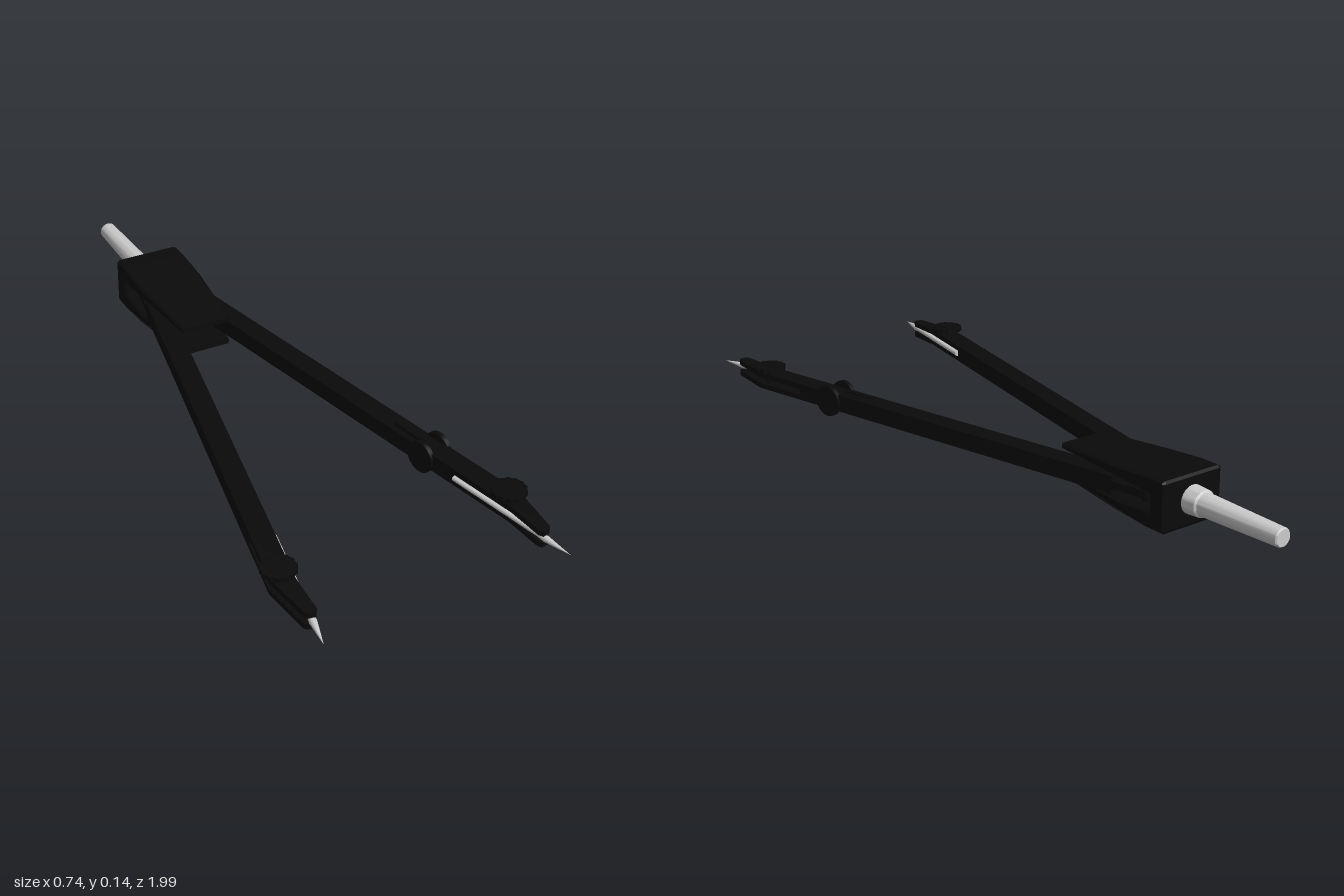
import * as THREE from 'three';
import { toCreasedNormals } from 'three/addons/utils/BufferGeometryUtils.js';

const black = new THREE.MeshStandardMaterial({ color: 0x0a0a0a });
const grey = new THREE.MeshStandardMaterial({ color: 0xcccccc });
const CX = -0.006; // centre line of the head
const CY = 0.071; // mid height of the flat-lying tool

function add(parent, name, geometry, material, x = 0, y = 0, z = 0) {
  const mesh = new THREE.Mesh(geometry, material);
  mesh.name = name;
  mesh.position.set(x, y, z);
  parent.add(mesh);
  return mesh;
}

// Flat plate outlined in (x, z), filling y0..y1
function plate(points, y0, y1, hole) {
  const shape = new THREE.Shape(points.map(([x, z]) => new THREE.Vector2(x, z)));
  if (hole) shape.holes.push(new THREE.Path(hole.map(([x, z]) => new THREE.Vector2(x, z))));
  const g = new THREE.ExtrudeGeometry(shape, { depth: y1 - y0, bevelEnabled: false });
  return g.rotateX(Math.PI / 2).translate(0, y1, 0);
}

// Turned part along z, from [radius, z] pairs with z rising
function turned(profile, segments = 24) {
  const pts = profile.map(([r, z]) => new THREE.Vector2(r, z));
  return toCreasedNormals(new THREE.LatheGeometry(pts, segments).rotateX(Math.PI / 2), 0.5);
}

// Knurled wheel lying flat
function wheel(radius, y0, y1) {
  const pts = [];
  for (let i = 0; i < 56; i++) {
    const a = (i / 56) * Math.PI * 2;
    const r = i % 4 < 2 ? radius : radius * 0.95;
    pts.push([Math.cos(a) * r, Math.sin(a) * r]);
  }
  return plate(pts, y0, y1);
}

// Forked head: side profile in (z, y), narrowed towards the open end
function makeHead(root) {
  const upper = [[-0.29, 0.029], [-0.29, 0.044], [-0.53, 0.03], [-0.645, 0.012], [-0.655, 0]];
  const outer = [[-0.29, 0.044], [-0.53, 0.06], [-0.64, 0.069], [-0.695, 0.069]];
  const inner = [[-0.65, 0.021], [-0.53, 0.029], [-0.29, 0.029]];
  const half = [...outer, [-0.7, 0.062]];
  const low = half.map(([z, y]) => [z, -y]).reverse();
  const lowInner = inner.map(([z, y]) => [z, -y]).reverse();
  const loop = [...half, ...low, ...lowInner, ...inner];
  const shape = new THREE.Shape(loop.map(([z, y]) => new THREE.Vector2(z, y)));
  const g = new THREE.ExtrudeGeometry(shape, {
    depth: 0.178, bevelThickness: 0.008, bevelSize: 0.005, bevelOffset: -0.005, bevelSegments: 1,
  }).translate(0, 0, -0.089).rotateY(-Math.PI / 2);
  const p = g.attributes.position;
  for (let i = 0; i < p.count; i++) {
    const t = THREE.MathUtils.clamp((p.getZ(i) + 0.53) / 0.24, 0, 1);
    p.setX(i, p.getX(i) * (1 - 0.23 * t));
  }
  g.computeVertexNormals();
  add(root, 'head', g, black, CX, CY, 0);
  for (const s of [-1, 1]) {
    add(root, 'pivotPin', new THREE.CylinderGeometry(0.016, 0.016, 0.124, 16), black, CX + s * 0.042, CY, -0.59);
  }
}

// One leg along local z; s = 1 for the left leg (+x), -1 for the right
function makeLeg(root, s) {
  const leg = new THREE.Group();
  leg.name = s > 0 ? 'leftLeg' : 'rightLeg';
  leg.position.set(CX + s * 0.165, CY, 0);
  leg.rotation.y = s * 0.204;
  root.add(leg);
  const m = (pts) => pts.map(([x, z]) => [s * x, z]);

  // Solid bar; the left one has a slit beside its hinge
  const bar = m([[-0.03, -0.51], [0.03, -0.51], [0.03, 0.61], [-0.03, 0.61]]);
  const slit = m([[-0.014, 0.36], [-0.003, 0.36], [-0.003, 0.47], [-0.014, 0.47]]);
  add(leg, 'bar', plate(bar, -0.024, 0.024, s > 0 ? slit : null), black);

  // Thin tongue with rounded end inside the head
  const tongue = [[0.03, -0.5], [-0.03, -0.5]];
  for (let i = 0; i <= 10; i++) {
    const a = Math.PI + (i / 10) * Math.PI;
    tongue.push([Math.cos(a) * 0.03, -0.6 + Math.sin(a) * 0.03]);
  }
  add(leg, 'tongue', plate(m(tongue), -0.01, 0.01), black);

  // Pair of jaws that clamp the needle
  const jaw = m([[-0.03, 0.6], [0.03, 0.6], [0.03, 0.78], [-0.012, 0.915], [-0.02, 0.922],
    [-0.04, 0.922], [-0.045, 0.91], [-0.03, 0.8]]);
  for (const [y0, y1] of [[0.009, 0.024], [-0.024, -0.009]]) add(leg, 'jaw', plate(jaw, y0, y1), black);

  // Needle held at the inner edge of the jaws
  const r = s > 0 ? 0.007 : 0.008;
  add(leg, 'needle', turned([[0, 0.61], [r, 0.61], [r, 0.9], [r + 0.002, 0.925], [r * 0.7, 0.96], [0, 1.004]], 16),
    grey, s * -0.032, 0, 0);

  // Clamping screw with knurled wheel
  const screw = new THREE.Group();
  screw.name = 'clampScrew';
  screw.position.set(s * 0.003, 0, 0.765);
  leg.add(screw);
  add(screw, 'wheel', wheel(0.046, 0.03, 0.042), black);
  add(screw, 'shaft', new THREE.CylinderGeometry(0.012, 0.012, 0.065, 16), black, 0, 0.003, 0);
  add(screw, 'nut', new THREE.CylinderGeometry(0.016, 0.01, 0.008, 16), black, 0, -0.027, 0);

  // Hinge of the left leg, with a disc on each face
  if (s > 0) {
    for (const side of [-1, 1]) {
      const disc = new THREE.CylinderGeometry(0.044, 0.044, 0.013, 32).rotateZ(Math.PI / 2);
      add(leg, 'hingeDisc', disc, black, side * 0.031, 0, 0.49);
    }
  }
}

export function createModel() {
  const root = new THREE.Group();
  root.name = 'draftingCompass';
  makeHead(root);
  for (const s of [-1, 1]) makeLeg(root, s);
  // Tapered grip with a collar
  const grip = [[0, -1], [0.022, -1], [0.025, -0.996], [0.031, -0.745], [0.036, -0.74], [0.039, -0.69], [0, -0.69]];
  add(root, 'handle', turned(grip, 32), grey, CX, CY + 0.002, 0);
  return root;
}
